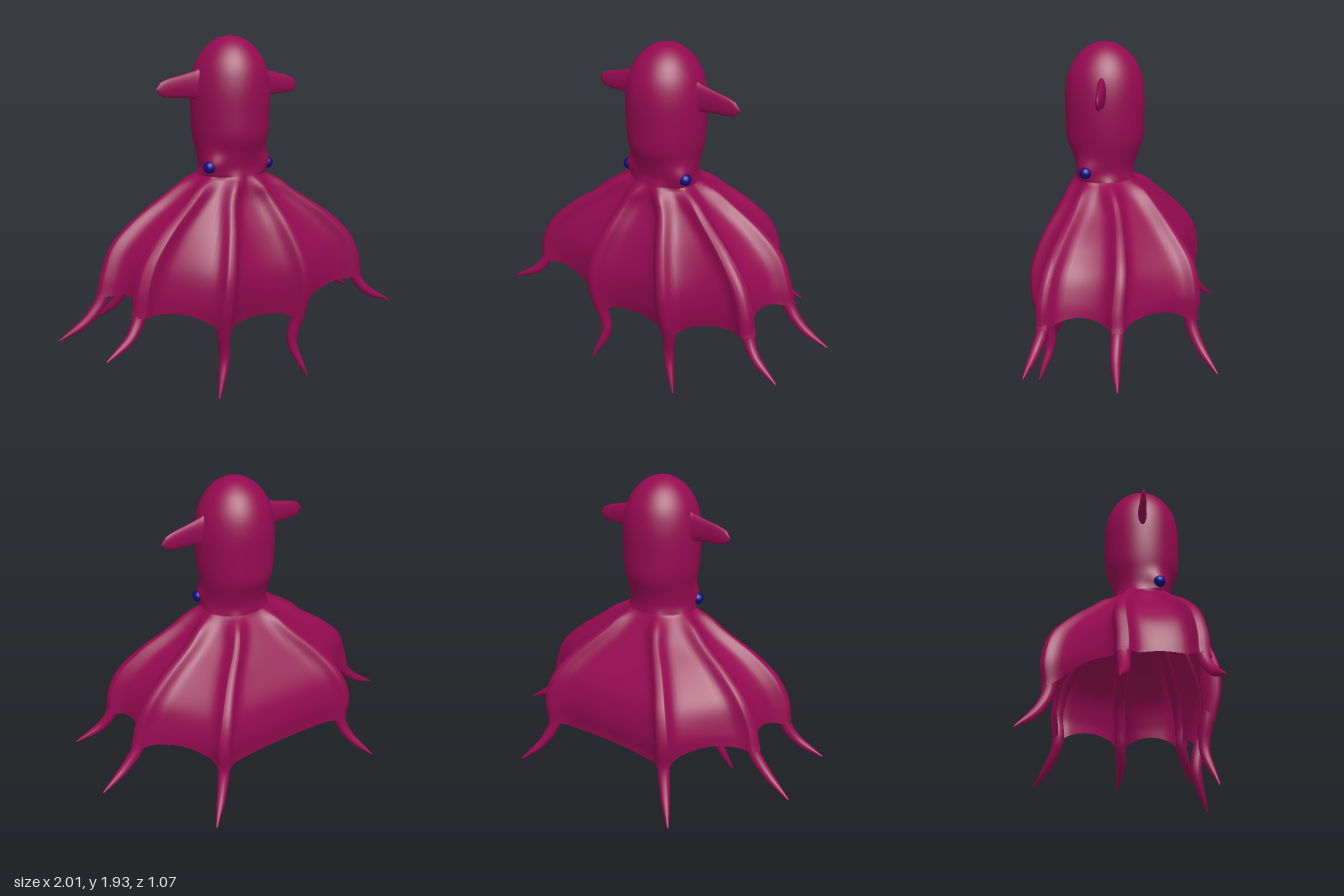
import * as THREE from 'three';

const skin = new THREE.MeshStandardMaterial({ color: 0x940a50, side: THREE.DoubleSide });
const eyeColor = new THREE.MeshStandardMaterial({ color: 0x0c0c80 });
const V = (x, y, z) => new THREE.Vector3(x, y, z);
const { lerp, smoothstep, degToRad } = THREE.MathUtils;
const ZC = 0.12; // z of the body axis

function mesh(geometry, name, material = skin) {
  const m = new THREE.Mesh(geometry, material);
  m.name = name;
  return m;
}

// Joins rings of points into a smooth surface closed around each ring
function skinRings(rings) {
  const n = rings[0].length, index = [];
  for (let i = 0; i < rings.length - 1; i++) {
    for (let j = 0; j < n; j++) {
      const a = i * n + j, b = i * n + (j + 1) % n;
      index.push(a, a + n, b, b, a + n, b + n);
    }
  }
  const g = new THREE.BufferGeometry().setFromPoints(rings.flat());
  g.setIndex(index);
  g.computeVertexNormals();
  return g;
}

// Round limb along a curve with varying radius
function limb(curve, radii, steps = 48, sides = 14) {
  const f = curve.computeFrenetFrames(steps), rings = [];
  for (let i = 0; i <= steps; i++) {
    const u = i / steps, k = Math.min(u * (radii.length - 1), radii.length - 1.001);
    const r = lerp(radii[Math.floor(k)], radii[Math.floor(k) + 1], k % 1);
    const c = curve.getPointAt(u), ring = [];
    for (let j = 0; j < sides; j++) {
      const a = -j / sides * Math.PI * 2;
      ring.push(c.clone().addScaledVector(f.normals[i], r * Math.cos(a))
        .addScaledVector(f.binormals[i], r * Math.sin(a)));
    }
    rings.push(ring);
  }
  return skinRings(rings);
}

// Neck outline the arms grow from
const neck = { y: 1.16, rx: 0.195, rz: 0.165 };
const around = (deg, y, rx, rz) => V(rx * Math.sin(degToRad(deg)), y, ZC + rz * Math.cos(degToRad(deg)));

// Left arms: angle on the neck, then path points; the web ends at the fifth
const armData = [
  { name: 'frontArm', deg: 16, path: [[0.115, 1.04, 0.315], [0.185, 0.86, 0.42], [0.24, 0.66, 0.49], [0.255, 0.5, 0.485], [0.25, 0.36, 0.45], [0.23, 0.2, 0.43], [0.3, 0, 0.49]] },
  { name: 'frontSideArm', deg: 60, path: [[0.32, 1.03, 0.25], [0.52, 0.89, 0.32], [0.645, 0.765, 0.365], [0.7, 0.64, 0.385], [0.725, 0.51, 0.39], [0.79, 0.42, 0.42], [0.94, 0.34, 0.46]] },
  { name: 'sideArm', deg: 103, path: [[0.35, 1.025, 0.03], [0.54, 0.89, 0], [0.66, 0.77, -0.01], [0.72, 0.63, 0], [0.755, 0.51, 0], [0.85, 0.4, 0], [1, 0.31, -0.02]] },
  { name: 'backArm', deg: 153, path: [[0.17, 1.04, -0.14], [0.295, 0.9, -0.265], [0.385, 0.76, -0.36], [0.425, 0.61, -0.392], [0.42, 0.46, -0.38], [0.47, 0.33, -0.43], [0.57, 0.21, -0.53]] },
];

function makeArms() {
  const build = (d, s) => {
    const deg = s > 0 ? d.deg : 360 - d.deg;
    const points = [around(deg, neck.y, neck.rx, neck.rz), ...d.path.map(([x, y, z]) => V(s * x, y, z))];
    return { name: (s > 0 ? 'left ' : 'right ') + d.name, deg, curve: new THREE.CatmullRomCurve3(points) };
  };
  return [...armData.map(d => build(d, 1)), ...armData.slice().reverse().map(d => build(d, -1))];
}

// Height of the rib at p between arm centres a and b; v is 0 at the neck, 1 at the web edge
function rib(p, a, b, v) {
  const d = Math.min(p.distanceTo(a), p.distanceTo(b));
  return 0.041 * smoothstep(v, -0.07, 0.14) * Math.exp(-((d / 0.046) ** 2));
}

// Head, neck and webbed skirt as one continuous skin
function mantle(arms) {
  const profile = new THREE.CatmullRomCurve3([ // y, half width, half depth
    V(1.932, 0.001, 0.001), V(1.915, 0.07, 0.07), V(1.86, 0.142, 0.145), V(1.77, 0.196, 0.2),
    V(1.66, 0.22, 0.223), V(1.5, 0.222, 0.222), V(1.38, 0.212, 0.215), V(1.29, 0.195, 0.182),
    V(1.22, 0.187, 0.165), V(neck.y, neck.rx, neck.rz)]);
  // Scallop depth and inward sag of the web after each arm
  const rise = [0.3, 0.45, 0.5, 0.1, 0.5, 0.45, 0.3, 0.3];
  const sag = [0.08, 0.06, 0.02, 0.02, 0.02, 0.06, 0.08, 0.11];
  const cols = 20, bodyRows = 50, webRows = 32;
  const rings = [], columns = [], swell = [];
  arms.forEach((arm, k) => {
    const next = arms[(k + 1) % 8], end = next.deg + (k === 7 ? 360 : 0);
    for (let j = 0; j < cols; j++) {
      // Columns crowd towards the arms
      const s = j / cols - 0.12 * Math.sin(j / cols * Math.PI * 2);
      columns.push({ arm, next, s, k, deg: lerp(arm.deg, end, s) });
    }
  });
  // Body rows, swelling around the eyes
  for (let i = 0; i < bodyRows; i++) {
    const { x: y, y: rx, z: rz } = profile.getPoint(i / bodyRows);
    rings.push(columns.map(c => {
      const q = around(c.deg, y, rx, rz);
      const d = Math.hypot(Math.abs(q.x) - 0.16, q.y - 1.235, q.z - 0.215);
      const ribs = rib(q, around(c.arm.deg, y, rx, rz), around(c.next.deg, y, rx, rz), (neck.y - y) / 0.9);
      swell.push(0.042 * Math.exp(-((d / 0.065) ** 2)) + ribs);
      return q;
    }));
  }
  // Web rows, swelling along the arms
  for (let i = 0; i <= webRows; i++) {
    const v = i / webRows;
    rings.push(columns.map(c => {
      const dip = 4 * c.s * (1 - c.s);
      const t = v * (5 - rise[c.k] * dip) / 7;
      const a = c.arm.curve.getPoint(t), b = c.next.curve.getPoint(t);
      const p = a.clone().lerp(b, c.s);
      swell.push(rib(p, a, b, v));
      // Round off the chord near the neck
      const chord = c.arm.curve.getPoint(0).lerp(c.next.curve.getPoint(0), c.s);
      const bulge = around(c.deg, neck.y, neck.rx, neck.rz).sub(chord);
      p.addScaledVector(bulge, Math.max(0, 1 - 2.5 * v));
      const f = 1 - sag[c.k] * dip * smoothstep(v, 0, 0.6);
      return V(p.x * f, p.y, ZC + (p.z - ZC) * f);
    }));
  }
  const normals = skinRings(rings).attributes.normal;
  rings.flat().forEach((p, i) => p.addScaledVector(V(0, 0, 0).fromBufferAttribute(normals, i), swell[i]));
  return skinRings(rings);
}

export function createModel() {
  const model = new THREE.Group();
  model.name = 'webbedCephalopod';

  const arms = makeArms();
  model.add(mesh(mantle(arms), 'headAndWeb'));

  // Arms: full along the web ribs, free and tapering below the edge
  const armRadii = [0.004, 0.026, 0.036, 0.038, 0.038, 0.038, 0.037, 0.035, 0.031, 0.023, 0.005];
  for (const arm of arms) model.add(mesh(limb(arm.curve, armRadii), arm.name));

  // Closed underside of the body
  const floor = mesh(new THREE.SphereGeometry(1, 32, 16), 'mouthFloor');
  floor.scale.set(0.185, 0.09, 0.155);
  floor.position.set(0, 1.14, ZC);
  model.add(floor);

  for (const s of [1, -1]) {
    const side = s > 0 ? 'left ' : 'right ';

    // Flattened paddle fin
    const finPath = new THREE.CatmullRomCurve3([V(s * 0.16, 1.667, 0), V(s * 0.24, 1.665, 0), V(s * 0.33, 1.658, 0), V(s * 0.41, 1.65, 0), V(s * 0.465, 1.645, 0)]);
    const fin = mesh(limb(finPath, [0.1, 0.09, 0.078, 0.071, 0.065, 0.061, 0.057, 0.053, 0.047, 0.037, 0.002], 40, 24), side + 'fin');
    fin.scale.z = 0.33;
    fin.position.z = ZC;
    model.add(fin);

    // Eye set in the swelling of the neck
    const eye = mesh(new THREE.SphereGeometry(0.034, 24, 16), side + 'eye', eyeColor);
    eye.position.set(s * 0.191, 1.222, 0.215);
    model.add(eye);
  }
  return model;
}
